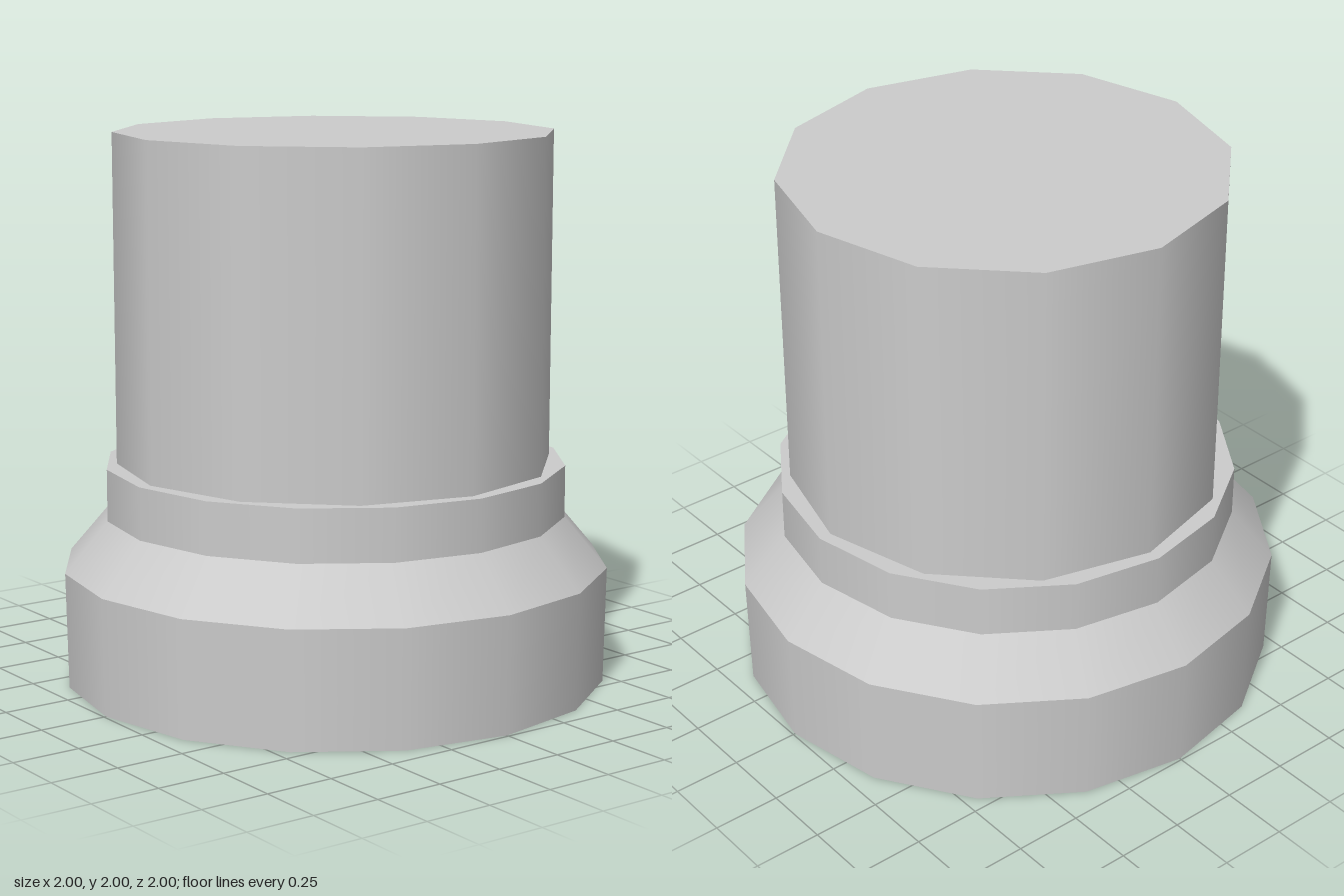
import * as THREE from 'three';

export function createModel() {
  const group = new THREE.Group();
  const material = new THREE.MeshStandardMaterial({ color: 0xcccccc });

  // Smooth-sided faceted band standing between two heights
  function band(name, rBottom, rTop, y0, y1, sides, open) {
    const geometry = new THREE.CylinderGeometry(rTop, rBottom, y1 - y0, sides, 1, open);
    const mesh = new THREE.Mesh(geometry, material);
    mesh.name = name;
    mesh.position.y = (y0 + y1) / 2;
    group.add(mesh);
    return mesh;
  }

  // Closed underside of the foot
  const underside = new THREE.Mesh(new THREE.CircleGeometry(0.992, 16), material);
  underside.name = 'underside';
  underside.rotation.x = Math.PI / 2;
  group.add(underside);

  // Wide foot, sloped shoulder and stepped collar
  band('foot', 0.992, 1, 0, 0.425, 16, true);
  band('shoulder', 1, 0.843, 0.425, 0.61, 16, true);
  band('collar', 0.843, 0.843, 0.61, 0.8, 16, false);

  // Tall twelve-sided plug with a flat top
  band('plug', 0.797, 0.797, 0.8, 2, 12, false);

  return group;
}
